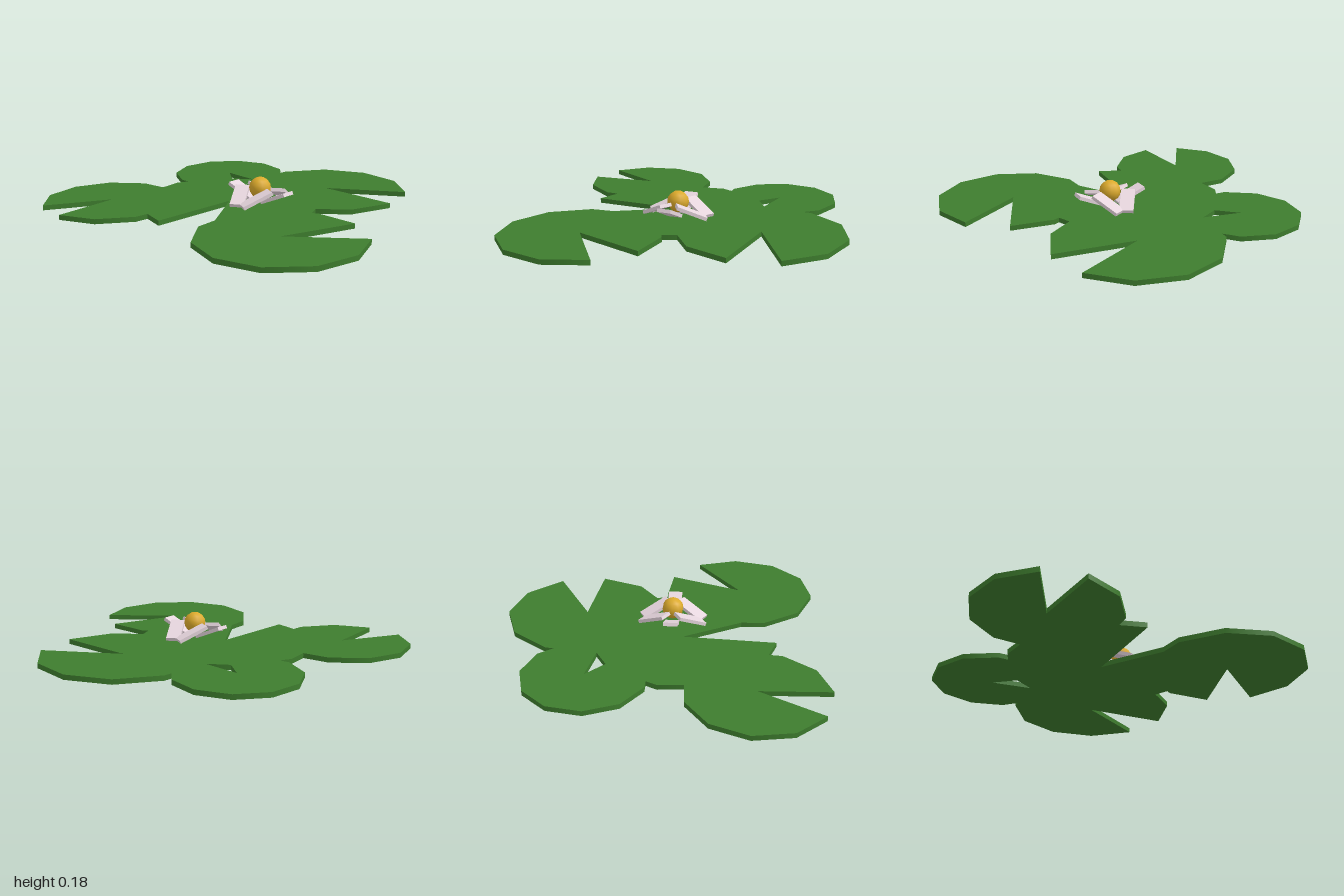
import * as THREE from 'three';

const leafGreen = new THREE.MeshStandardMaterial({ color: 0x3e7d2e });
leafGreen.name = 'leaf green';
const petalPink = new THREE.MeshStandardMaterial({ color: 0xe6d5dd });
petalPink.name = 'pale petal pink';
const pollenGold = new THREE.MeshStandardMaterial({ color: 0xdcaa2c });
pollenGold.name = 'pollen gold';

const THICKNESS = 0.028;
const SWEEP = 5.7; // angle covered by a pad; the rest is its notch

// A ten-sided round leaf with a wedge cut out; angle is where the leaf starts, in degrees
function makePad(x, z, radius, angle) {
  const pad = new THREE.Group();
  pad.name = 'lilyPad';
  pad.position.set(x, THICKNESS / 2, z);
  const start = THREE.MathUtils.degToRad(angle);
  const leaf = new THREE.Mesh(
    new THREE.CylinderGeometry(radius, radius, THICKNESS, 10, 1, false, start + Math.PI / 2, SWEEP),
    leafGreen
  );
  leaf.name = 'leaf';
  pad.add(leaf);

  // Two walls closing the notch, each facing into the gap
  [[start, 0], [start + SWEEP, Math.PI]].forEach(([a, flip]) => {
    const wall = new THREE.Mesh(new THREE.PlaneGeometry(radius, THICKNESS), leafGreen);
    wall.name = 'notchWall';
    wall.position.set(Math.cos(a) * radius / 2, 0, -Math.sin(a) * radius / 2);
    wall.rotation.y = a + flip;
    pad.add(wall);
  });
  return pad;
}

// Six tilted petals round a golden ball
function makeFlower() {
  const flower = new THREE.Group();
  flower.name = 'flower';
  flower.position.set(0.09, 0, 0.05);
  const petalShape = new THREE.BoxGeometry(0.18, 0.02, 0.08);
  for (let i = 0; i < 6; i++) {
    const a = (i * Math.PI) / 3;
    const petal = new THREE.Mesh(petalShape, petalPink);
    petal.name = 'petal';
    petal.position.set(Math.cos(a) * 0.12, 0.085, Math.sin(a) * 0.12);
    petal.rotation.set(0, a, 0.4);
    flower.add(petal);
  }
  const heart = new THREE.Mesh(new THREE.SphereGeometry(0.062, 10, 8), pollenGold);
  heart.name = 'flowerHeart';
  heart.position.y = 0.122;
  flower.add(heart);
  return flower;
}

export function createModel() {
  const model = new THREE.Group();
  model.name = 'waterLily';
  // x, z, radius, start angle
  [
    [-0.08, 0.12, 0.53, -59],
    [0.17, -0.47, 0.472, 29.4],
    [0.55, 0.43, 0.45, 69.4],
    [-0.53, -0.37, 0.345, -7.7],
    [-0.61, 0.54, 0.39, -86.3],
  ].forEach((p) => model.add(makePad(...p)));
  model.add(makeFlower());
  return model;
}
